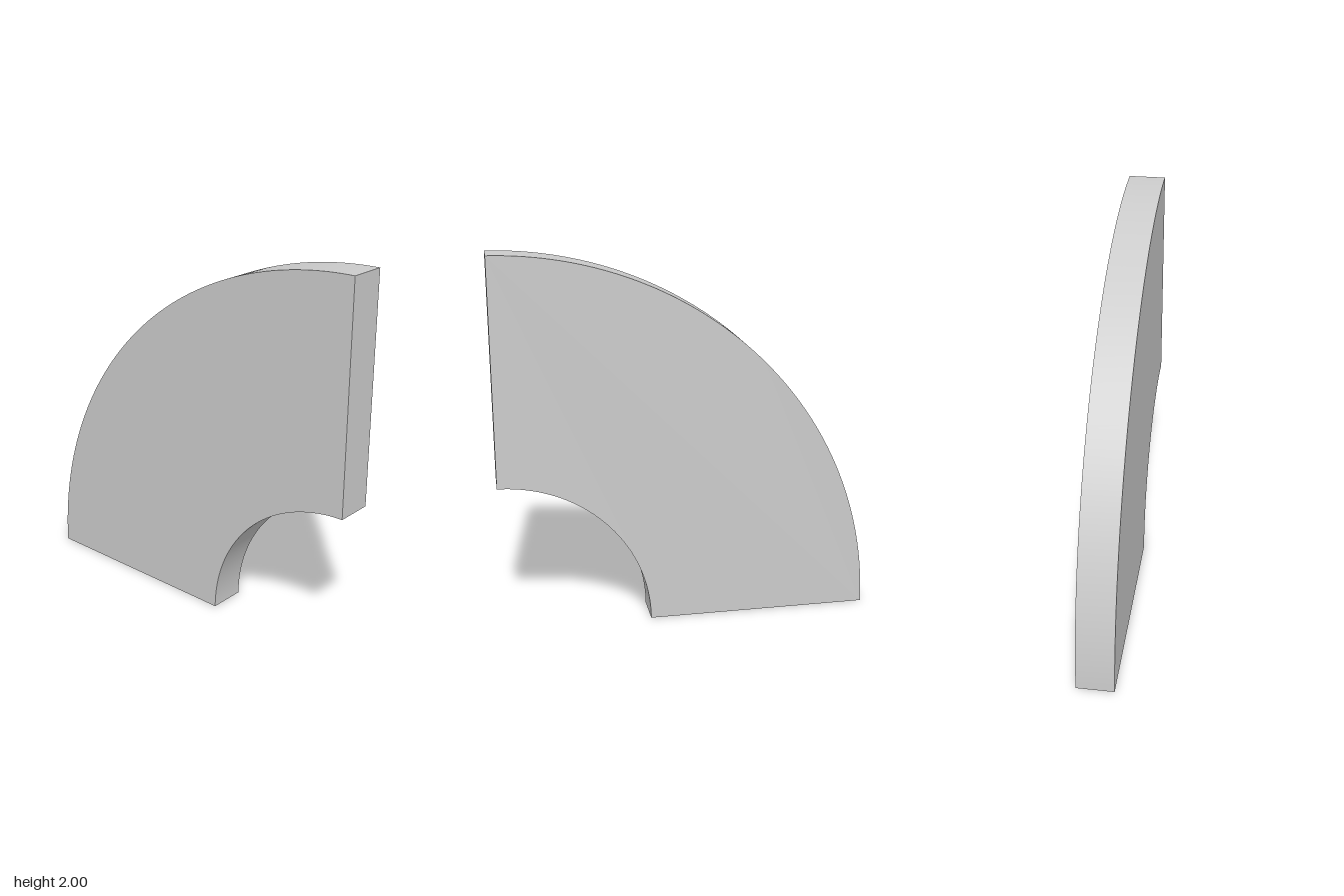
import * as THREE from 'three';
import { toCreasedNormals } from 'three/addons/utils/BufferGeometryUtils.js';

const OUTER_RADIUS = 2;
const INNER_RADIUS = 0.8;
const THICKNESS = 0.2;

export function createModel() {
  const group = new THREE.Group();
  group.name = 'quarterRing';

  // Quarter ring profile, centred on the lower corner at x = 1
  const profile = new THREE.Shape();
  profile.absarc(1, 0, OUTER_RADIUS, Math.PI / 2, Math.PI, false);
  profile.absarc(1, 0, INNER_RADIUS, Math.PI, Math.PI / 2, true);
  profile.closePath();

  // Flat slab with smooth curved rims and sharp edges
  const slab = new THREE.ExtrudeGeometry(profile, {
    depth: THICKNESS,
    bevelEnabled: false,
    curveSegments: 64,
  });
  slab.translate(0, 0, -THICKNESS / 2);

  const mesh = new THREE.Mesh(
    toCreasedNormals(slab, Math.PI / 6),
    new THREE.MeshStandardMaterial({ color: 0xcccccc })
  );
  mesh.name = 'curvedSlab';
  group.add(mesh);

  return group;
}
